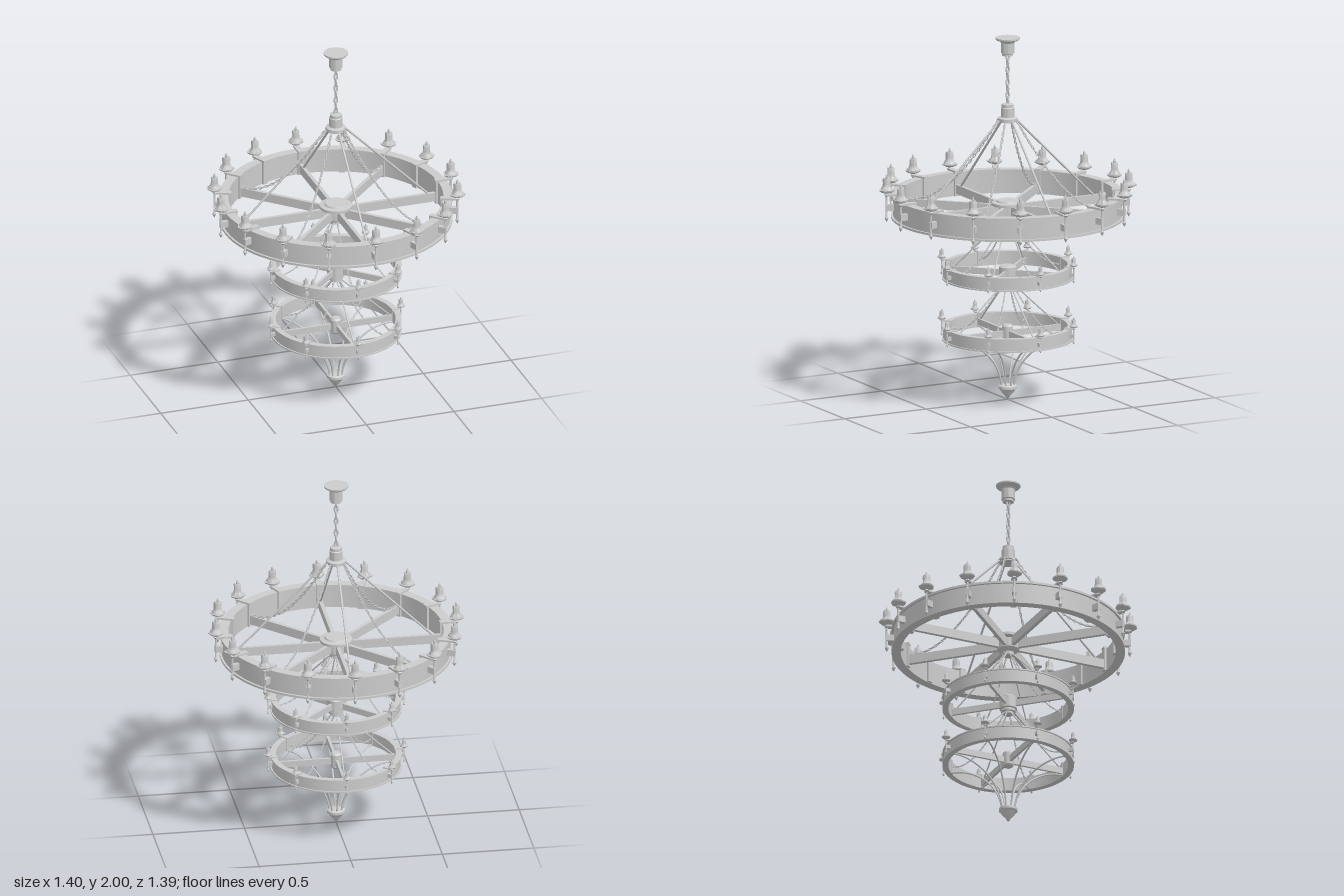
import * as THREE from 'three';
import { mergeGeometries, toCreasedNormals } from 'three/addons/utils/BufferGeometryUtils.js';

const metal = new THREE.MeshStandardMaterial({ color: 0xcccccc });
const V = (x, y, z = 0) => new THREE.Vector3(x, y, z);

function add(parent, name, geometry, x = 0, y = 0, z = 0) {
  const mesh = new THREE.Mesh(geometry, metal);
  mesh.name = name;
  mesh.position.set(x, y, z);
  parent.add(mesh);
  return mesh;
}

// Turned part; profile is [radius, y] pairs from bottom to top
function turned(profile, segments = 32, deform) {
  const geo = new THREE.LatheGeometry(profile.map(([r, y]) => new THREE.Vector2(r, y)), segments);
  if (deform) {
    const p = geo.attributes.position;
    for (let i = 0; i < p.count; i++) {
      const x = p.getX(i), z = p.getZ(i);
      const k = deform(Math.atan2(z, x), p.getY(i));
      p.setX(i, x * k);
      p.setZ(i, z * k);
    }
  }
  return toCreasedNormals(geo, 0.6);
}

// Repeat a builder around the vertical axis; local +x points outward
function around(parent, name, count, offset, build) {
  for (let i = 0; i < count; i++) {
    const g = new THREE.Group();
    g.name = name;
    g.rotation.y = offset + (i / count) * Math.PI * 2;
    build(g, i);
    parent.add(g);
  }
}

// Oval links alternating in twist along a curve
function chain(curve, pitch, width, wire) {
  const n = Math.max(2, Math.round(curve.getLength() / pitch));
  const links = [];
  for (let i = 0; i < n; i++) {
    const u = (i + 0.5) / n;
    const link = new THREE.TorusGeometry(width / 2 - wire, wire, 5, 10);
    link.scale(1, (pitch * 0.65 + wire) / (width / 2), 1);
    link.rotateY((i % 2) * Math.PI / 2);
    const q = new THREE.Quaternion().setFromUnitVectors(V(0, 1), curve.getTangentAt(u));
    link.applyQuaternion(q);
    const p = curve.getPointAt(u);
    link.translate(p.x, p.y, p.z);
    links.push(link);
  }
  return mergeGeometries(links);
}

// Flanged band ring
function bandRing(outer, inner, y0, y1, lip) {
  const body = outer - lip;
  return turned([
    [inner, y0], [outer, y0], [outer, y0 + lip], [body, y0 + lip], [body, y1 - lip],
    [outer, y1 - lip], [outer, y1], [inner, y1], [inner, y0],
  ], 80);
}

// Candle holder clamped over the ring; origin on the candle axis at ring mid-height
const stemGeo = turned([
  [0, -0.08], [0.006, -0.07], [0.011, -0.058], [0.006, -0.048], [0.006, 0.06],
  [0.014, 0.07], [0.008, 0.078], [0.022, 0.086], [0, 0.086],
], 10);
const panGeo = turned([[0, 0.082], [0.026, 0.084], [0.039, 0.092], [0.041, 0.099], [0.03, 0.098], [0, 0.098]], 20,
  (a) => 1 + 0.07 * Math.sin(3 * a) + 0.05 * Math.sin(7 * a + 1));
const waxGeo = turned([
  [0.034, 0.095], [0.03, 0.106], [0.022, 0.116], [0.019, 0.13], [0.02, 0.155], [0.017, 0.163], [0.007, 0.16], [0, 0.159],
], 14, (a, y) => 1 + 0.09 * Math.sin(4 * a + y * 50) + 0.05 * Math.sin(6 * a));
const wickGeo = turned([[0.006, 0.157], [0.008, 0.166], [0.006, 0.176], [0, 0.188]], 6);
const clampTop = new THREE.BoxGeometry(0.092, 0.01, 0.032);
const clampPlate = new THREE.BoxGeometry(0.012, 0.137, 0.032);
const clampBlock = new THREE.BoxGeometry(0.05, 0.036, 0.022);

function sconce(parent, radius, y, scale, index) {
  const g = new THREE.Group();
  g.name = 'candleHolder';
  g.position.set(radius, y, 0);
  g.scale.setScalar(scale);
  add(g, 'clampTop', clampTop, -0.046, 0.07);
  add(g, 'clampInnerPlate', clampPlate, -0.084, 0.004);
  add(g, 'clampBlock', clampBlock, -0.02, 0);
  add(g, 'stem', stemGeo);
  add(g, 'dripPan', panGeo).rotation.y = index * 2.4;
  add(g, 'candle', waxGeo).rotation.y = index * 1.7;
  add(g, 'wick', wickGeo);
  parent.add(g);
}

// One ring tier with spokes, straight rods, sagging chains and candles
function tier(t) {
  const g = new THREE.Group();
  g.name = t.name;
  const mid = (t.y0 + t.y1) / 2;
  add(g, 'ring', bandRing(t.outer, t.inner, t.y0, t.y1, t.lip));
  around(g, 'candleArm', t.candles, 0, (a, i) => sconce(a, t.candleRadius, mid, t.scale, i));
  around(g, 'spokeArm', t.spokes, t.rodOffset, (a) => {
    const length = t.inner + 0.005;
    add(a, 'spoke', new THREE.BoxGeometry(length, t.spokeHeight, t.spokeWidth), length / 2, t.spokeY);
  });
  around(g, 'rodArm', 4, t.rodOffset, (a) => {
    const rod = new THREE.LineCurve3(V(...t.rod[0]), V(...t.rod[1]));
    add(a, 'supportRod', new THREE.TubeGeometry(rod, 1, t.rodRadius, 8));
  });
  around(g, 'chainArm', 4, t.rodOffset + Math.PI / 4, (a) => {
    const curve = new THREE.QuadraticBezierCurve3(...t.sag.map((p) => V(...p)));
    add(a, 'saggingChain', chain(curve, t.pitch, t.linkWidth, t.linkWidth * 0.18));
  });
  add(g, 'hub', turned(t.hub));
  return g;
}

export function createModel() {
  const model = new THREE.Group();
  model.name = 'chandelier';

  // Ceiling canopy, hanging chain and upper collar
  add(model, 'canopy', turned([
    [0, 1.9], [0.03, 1.9], [0.03, 1.912], [0.036, 1.915], [0.036, 1.972],
    [0.042, 1.98], [0.06, 1.986], [0.066, 1.992], [0.066, 2], [0, 2],
  ]));
  add(model, 'hangingChain', chain(new THREE.LineCurve3(V(0, 1.63), V(0, 1.91)), 0.035, 0.027, 0.005));
  add(model, 'upperCollar', turned([
    [0, 1.535], [0.046, 1.535], [0.046, 1.543], [0.054, 1.545], [0.054, 1.556], [0.036, 1.563],
    [0.036, 1.612], [0.032, 1.616], [0.032, 1.632], [0.014, 1.638], [0, 1.638],
  ]));

  // Large upper ring
  model.add(tier({
    name: 'upperTier', outer: 0.63, inner: 0.58, y0: 1.01, y1: 1.14, lip: 0.012,
    candles: 16, candleRadius: 0.656, scale: 1,
    spokes: 8, spokeHeight: 0.05, spokeWidth: 0.02, spokeY: 1.05,
    rodOffset: 0, rod: [[0.045, 1.55], [0.56, 1.04]], rodRadius: 0.006,
    sag: [[0.05, 1.545], [0.34, 1.05], [0.56, 1.08]], pitch: 0.02, linkWidth: 0.016,
    hub: [[0, 0.985], [0.032, 0.985], [0.032, 1.003], [0.05, 1.012], [0.06, 1.02], [0.06, 1.072],
      [0.088, 1.075], [0.088, 1.09], [0.062, 1.094], [0.058, 1.102], [0, 1.102]],
  }));

  // Two smaller rings
  const small = {
    outer: 0.355, inner: 0.323, lip: 0.007, candles: 8, candleRadius: 0.371, scale: 0.57,
    spokes: 4, spokeHeight: 0.035, spokeWidth: 0.014, rodRadius: 0.004, pitch: 0.014, linkWidth: 0.011,
  };
  model.add(tier({
    ...small, name: 'middleTier', y0: 0.672, y1: 0.748, spokeY: 0.7, rodOffset: Math.PI / 4,
    rod: [[0.024, 0.995], [0.31, 0.705]], sag: [[0.026, 0.99], [0.175, 0.735], [0.315, 0.715]],
    hub: [[0, 0.637], [0.028, 0.637], [0.028, 0.648], [0.04, 0.65], [0.04, 0.664], [0.048, 0.668],
      [0.048, 0.735], [0.038, 0.742], [0, 0.742]],
  }));
  model.add(tier({
    ...small, name: 'lowerTier', y0: 0.335, y1: 0.41, spokeY: 0.365, rodOffset: 0,
    rod: [[0.024, 0.645], [0.31, 0.38]], sag: [[0.026, 0.642], [0.2, 0.34], [0.315, 0.375]],
    hub: [[0, 0.325], [0.022, 0.325], [0.03, 0.335], [0.03, 0.405], [0.022, 0.415], [0, 0.415]],
  }));

  // Curved arms sweeping down to the bottom finial
  around(model, 'lowerArm', 8, 0, (a) => {
    const curve = new THREE.CubicBezierCurve3(V(0.325, 0.34), V(0.2, 0.345), V(0.05, 0.24), V(0.036, 0.075));
    add(a, 'curvedArm', new THREE.TubeGeometry(curve, 20, 0.005, 8));
  });
  add(model, 'finial', turned([
    [0, 0], [0.008, 0.008], [0.014, 0.02], [0.036, 0.044], [0.04, 0.054], [0.05, 0.062],
    [0.05, 0.076], [0.042, 0.082], [0, 0.084],
  ]));
  return model;
}
